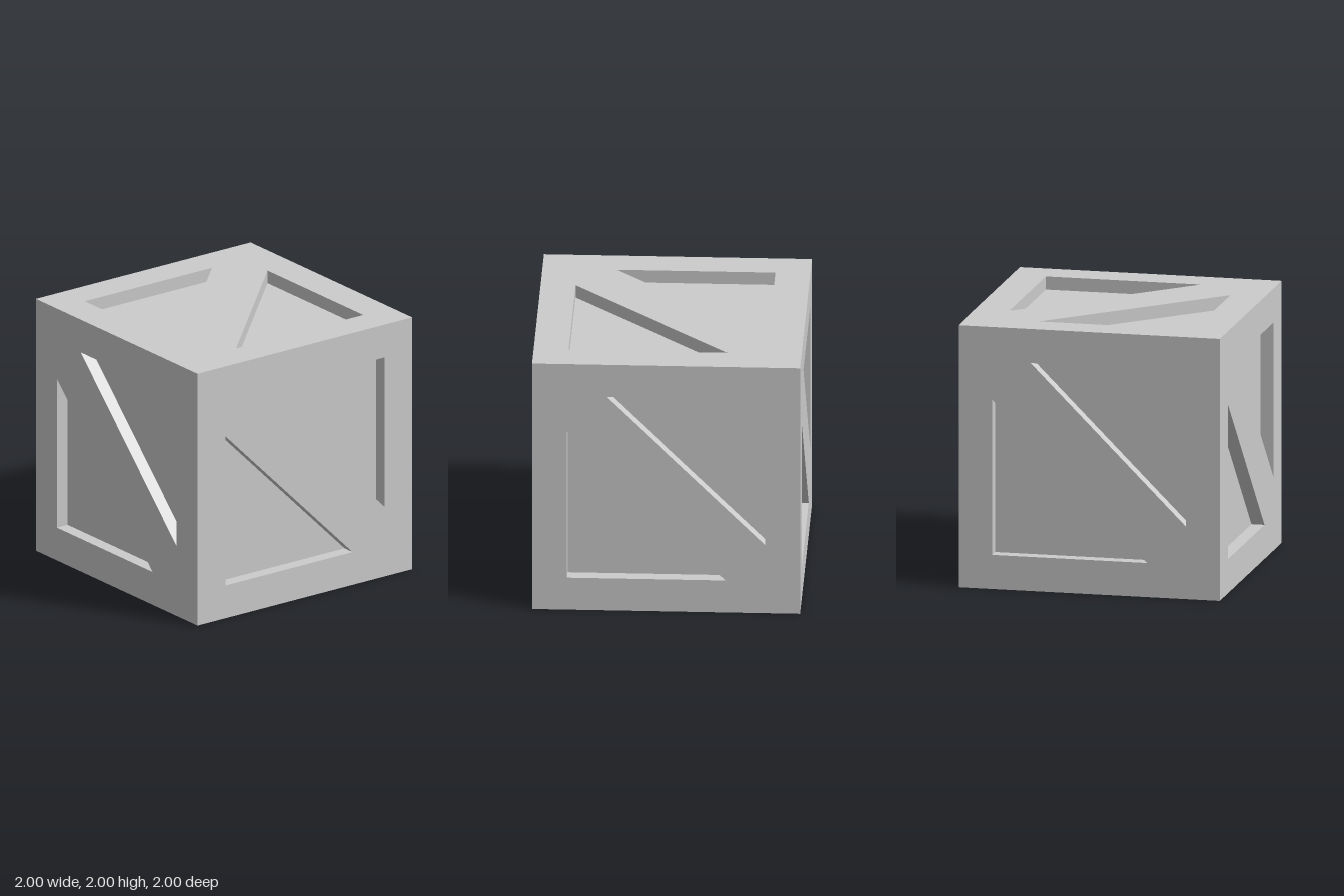
import * as THREE from 'three';

const HALF = 1;       // half the crate's side
const DEPTH = 0.1;    // depth of the recesses
const INNER = 0.74;   // inner edge of the frame
const TIP = 0.445;    // where the diagonal brace meets the frame

// Square panel with two triangular openings that leave a frame and a diagonal brace
function panelGeometry() {
  const loop = pts => pts.map(([x, y]) => new THREE.Vector2(x, y));
  const shape = new THREE.Shape(loop([[-HALF, -HALF], [HALF, -HALF], [HALF, HALF], [-HALF, HALF]]));
  for (const s of [1, -1]) {
    shape.holes.push(new THREE.Path(loop([
      [-INNER * s, -INNER * s], [-INNER * s, TIP * s], [TIP * s, -INNER * s],
    ])));
  }
  const geo = new THREE.ExtrudeGeometry(shape, { depth: DEPTH, bevelEnabled: false });
  geo.translate(0, 0, HALF - DEPTH);

  // Mitre the outer edge so that neighbouring panels meet at the corners
  const pos = geo.attributes.position;
  const k = HALF - DEPTH;
  for (let i = 0; i < pos.count; i++) {
    if (pos.getZ(i) < HALF - DEPTH / 2 && Math.abs(pos.getX(i)) > 0.95) {
      pos.setXY(i, pos.getX(i) * k, pos.getY(i) * k);
    }
  }
  geo.computeVertexNormals();
  return geo;
}

export function createModel() {
  const crate = new THREE.Group();
  crate.name = 'crate';
  const material = new THREE.MeshStandardMaterial({ color: 0xcccccc, flatShading: true });

  // Inner box: its sides are the floors of the recesses
  const side = 2 * (HALF - DEPTH);
  const core = new THREE.Mesh(new THREE.BoxGeometry(side, side, side), material);
  core.name = 'innerBox';
  core.position.y = HALF;
  crate.add(core);

  // Six identical braced panels
  const geo = panelGeometry();
  const q = Math.PI / 2;
  const turns = {
    frontPanel: [0, 0], leftPanel: [0, q], backPanel: [0, 2 * q], rightPanel: [0, -q],
    topPanel: [-q, 0], bottomPanel: [q, 0],
  };
  for (const [name, [rx, ry]] of Object.entries(turns)) {
    const panel = new THREE.Mesh(geo, material);
    panel.name = name;
    panel.rotation.set(rx, ry, 0);
    panel.position.y = HALF;
    crate.add(panel);
  }
  return crate;
}
